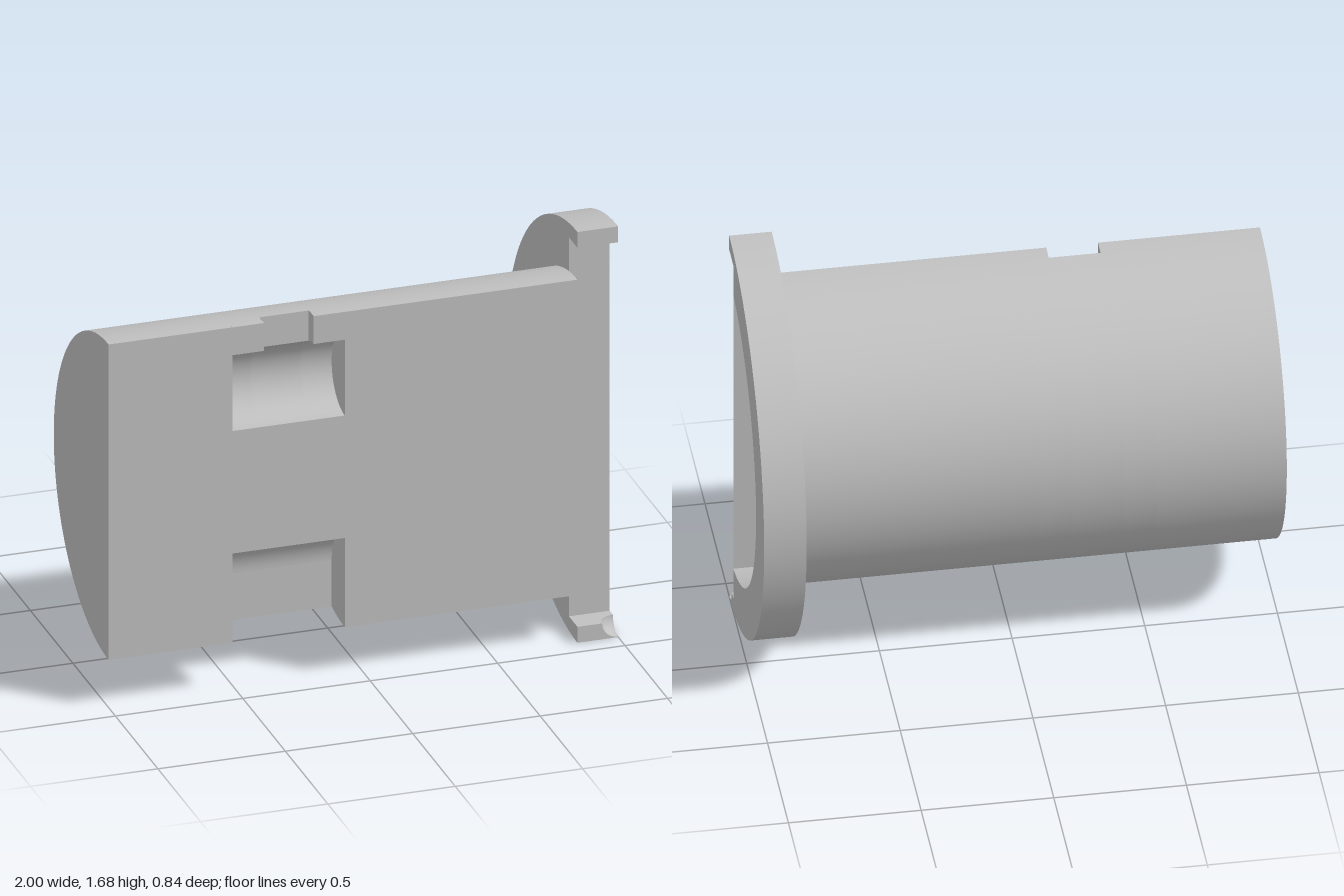
import * as THREE from 'three';

const CY = 0.84, CZ = 0.42;          // axis of the half cylinders (runs along x)
const R = 0.645, RF = 0.84;          // body and flange radius
const XF = 0.84, STEP = 0.32;        // flange inner side, recessed front plane
const P0 = -0.513, P1 = -0.073;      // pocket ends
const N0 = -0.39, N1 = -0.195;       // notch ends
const PR = 0.155, UP = 1.216, LOW = 0.405; // pocket radius and centre heights
const NZ = 0.36;                     // notch floor
const TIP = 0.065, DR = 0.063;       // flange tip height, dimple radius
const H = Math.PI / 2;

// arc in the z-y plane, bulging to -z; angle 0 points backwards
function arc(r, cy, a0, a1, n = 48) {
  return Array.from({ length: n + 1 }, (_, i) => {
    const a = a0 + (a1 - a0) * i / n;
    return [CZ - r * Math.cos(a), cy + r * Math.sin(a)];
  });
}
// angle at which a circle of radius r reaches depth z
const angleAt = (r, z) => Math.acos((CZ - z) / r);

// smooth sheet: a z-y profile carried along x
function sheet(profile, x0, x1) {
  const pos = [], idx = [];
  profile.forEach(([z, y], i) => {
    pos.push(x0, y, z, x1, y, z);
    if (i) {
      const k = 2 * i;
      idx.push(k - 2, k, k - 1, k - 1, k, k + 1);
    }
  });
  const g = new THREE.BufferGeometry();
  g.setAttribute('position', new THREE.Float32BufferAttribute(pos, 3));
  g.setIndex(idx);
  g.computeVertexNormals();
  return g;
}
const flat = pts => new THREE.ShapeGeometry(new THREE.Shape(pts.map(p => new THREE.Vector2(p[0], p[1]))));
// flat plates facing +x (points are z, y), +z (x, y) and +y (x, z)
const plateX = (pts, x) => flat(pts.map(([z, y]) => [-z, y])).rotateY(H).translate(x, 0, 0);
const plateZ = (pts, z) => flat(pts).translate(0, 0, z);
const plateY = (pts, y) => flat(pts.map(([x, z]) => [x, -z])).rotateX(-H).translate(0, y, 0);
const rect = (a0, b0, a1, b1) => [[a0, b0], [a1, b0], [a1, b1], [a0, b1]];

export function createModel() {
  const grey = new THREE.MeshStandardMaterial({ color: 0xc0c0c0, side: THREE.DoubleSide });
  grey.name = 'grey';
  const model = new THREE.Group();
  model.name = 'halfCylinderInsert';
  const part = (name, geometries) => {
    const group = new THREE.Group();
    group.name = name;
    geometries.forEach(g => {
      const m = new THREE.Mesh(g, grey);
      m.name = name + 'Face';
      group.add(m);
    });
    model.add(group);
  };

  // curved shell, shortened where the pocket and notch cut it, open at the flange
  const aLow = -angleAt(R, CZ - PR), aNotch = angleAt(R, NZ), aStep = angleAt(R, STEP);
  part('shell', [
    [-1, P0, -H, H], [P0, N0, aLow, H], [N0, N1, aLow, aNotch],
    [N1, P1, aLow, H], [P1, XF, -H, H], [XF, 1, -aStep, aStep],
  ].map(([x0, x1, a0, a1]) => sheet(arc(R, CY, a0, a1, 64), x0, x1)));
  part('endCap', [plateX(arc(R, CY, -H, H, 64), -1).scale(1, 1, 1)]);

  // front face with both pocket openings and the notch
  const bot = CY - R, top = CY + R;
  part('frontFace', [plateZ([
    [-1, bot], [P0, bot], [P0, LOW + PR], [P1, LOW + PR], [P1, bot], [XF, bot],
    [XF, top], [N1, top], [N1, UP + PR], [P1, UP + PR], [P1, UP - PR],
    [P0, UP - PR], [P0, UP + PR], [N0, UP + PR], [N0, top], [-1, top],
  ], CZ)]);

  // upper pocket
  const bNotch = angleAt(PR, NZ);
  const upper = arc(PR, UP, -H, H, 24);
  part('upperPocket', [
    sheet(upper, P0, N0), sheet(arc(PR, UP, -H, bNotch, 24), N0, N1), sheet(upper, N1, P1),
    plateX(upper, P0), plateX(upper, P1),
  ]);

  // notch from the upper pocket to the top
  const side = [...arc(PR, UP, bNotch, H, 6), ...arc(R, CY, H, aNotch, 4)];
  part('topNotch', [
    plateZ(rect(N0, UP + PR * Math.sin(bNotch), N1, CY + R * Math.sin(aNotch)), NZ),
    plateX(side, N0), plateX(side, N1),
  ]);

  // lower pocket, open at the bottom
  const lower = arc(PR, LOW, 0, H, 16);
  const yLow = CY + R * Math.sin(aLow);
  const lowerEnd = [...lower, ...arc(R, CY, -H, aLow, 8)];
  part('lowerPocket', [
    sheet(lower, P0, P1),
    plateZ(rect(P0, yLow, P1, LOW), CZ - PR),
    plateX(lowerEnd, P0), plateX(lowerEnd, P1),
  ]);

  // recessed strip and the step leading to it
  const yStep = R * Math.sin(aStep);
  part('recessedStrip', [
    plateZ(rect(XF, TIP, 1, 2 * CY - TIP), STEP),
    plateX([[STEP, CY - yStep], ...arc(R, CY, -aStep, -H, 6).slice(1),
      ...arc(R, CY, H, aStep, 6)], XF),
  ]);

  // flange: half ring with two forward tips, the lower one dimpled at its corner
  const corner = Array.from({ length: 13 }, (_, i) => {
    const a = H * i / 12;
    return [DR * Math.cos(a), DR * Math.sin(a)];
  });
  const ring = lowerCorner => [
    ...arc(RF, CY, -H, H, 80),
    [CZ, 2 * CY - TIP], [STEP, 2 * CY - TIP],
    ...arc(R, CY, aStep, -aStep, 64),
    [STEP, TIP], ...lowerCorner,
  ];
  part('flange', [
    sheet(arc(RF, CY, -H, H, 80), XF, 1),
    plateX(ring(corner.map(([a, b]) => [CZ - a, TIP - b])), 1),
    plateX(ring([[CZ, TIP]]), XF),
    plateZ(rect(XF, 2 * CY - TIP, 1, 2 * CY), CZ),
    plateY(rect(XF, STEP, 1, CZ), 2 * CY - TIP),
    plateZ([[XF, 0], [1, 0], ...corner.map(([a, b]) => [1 - b, TIP - a]), [XF, TIP]], CZ),
    plateY([[XF, STEP], [1, STEP], ...corner.map(([a, b]) => [1 - b, CZ - a]), [XF, CZ]], TIP),
  ]);
  part('cornerDimple', [
    new THREE.SphereGeometry(DR, 16, 12, 3 * H, H, H, H).translate(1, TIP, CZ),
  ]);
  return model;
}
